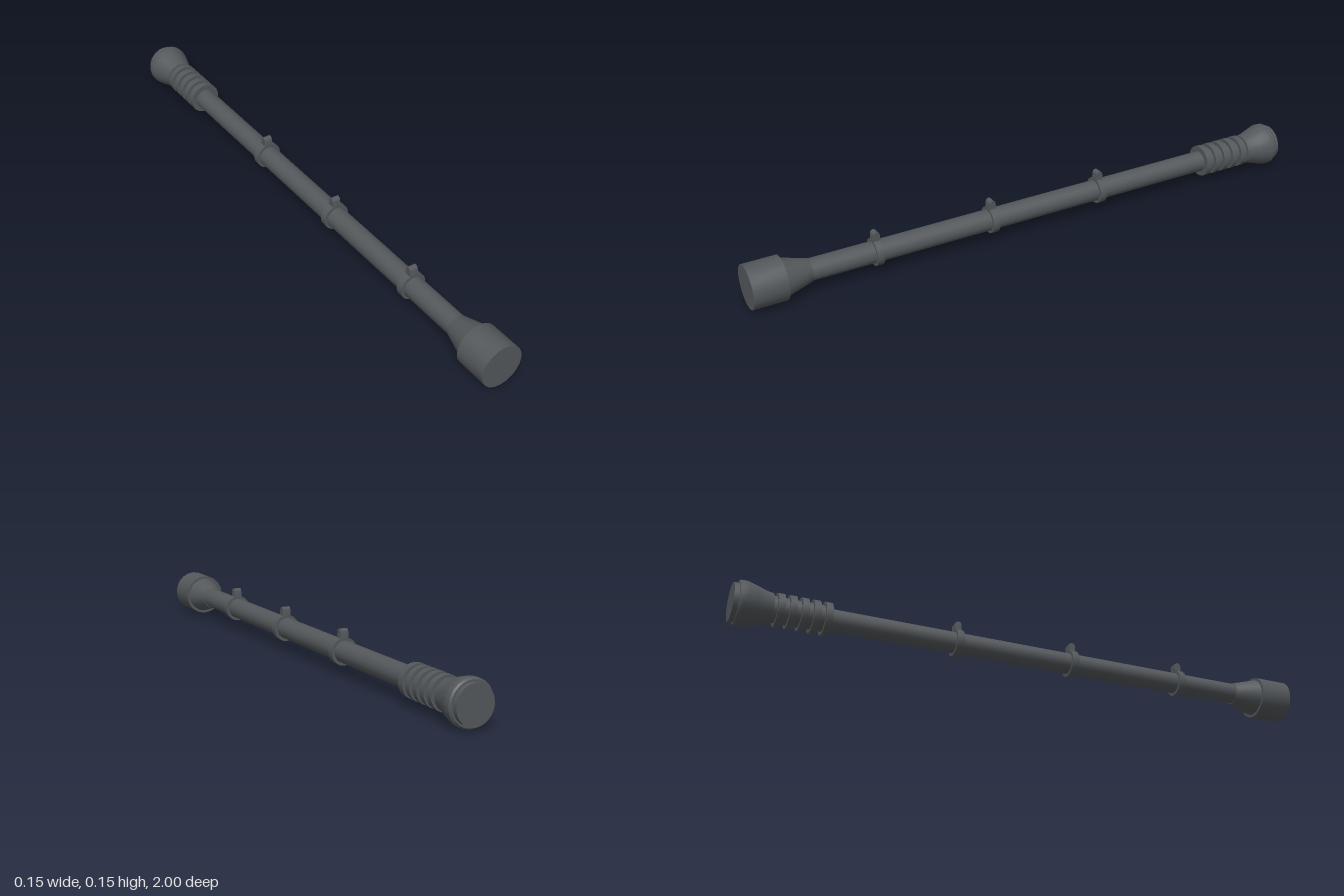
import * as THREE from 'three';
import { toCreasedNormals } from 'three/addons/utils/BufferGeometryUtils.js';

const AXIS = 0.076; // height of the central axis

export function createModel() {
  const model = new THREE.Group();
  model.name = 'rod';
  const mat = new THREE.MeshStandardMaterial({ color: 0x54585b });

  const add = (name, geometry, parent = model) => {
    const mesh = new THREE.Mesh(geometry, mat);
    mesh.name = name;
    parent.add(mesh);
    return mesh;
  };

  // Solid of revolution about the z axis, from [radius, z] pairs in rising z
  const turned = (name, profile, parent) => {
    const g = new THREE.LatheGeometry(profile.map(([r, z]) => new THREE.Vector2(r, z)), 20);
    g.rotateX(Math.PI / 2);
    g.translate(0, AXIS, 0);
    return add(name, toCreasedNormals(g, 0.4), parent);
  };
  const disc = (name, r, z, width, parent) =>
    turned(name, [[0, z - width / 2], [r, z - width / 2], [r, z + width / 2], [0, z + width / 2]], parent);

  // Long shaft
  turned('shaft', [[0, -0.72], [0.036, -0.72], [0.036, 0.82], [0, 0.82]]);

  // Front end: tapered collar and wide cap
  turned('frontCollar', [[0, 0.797], [0.038, 0.797], [0.064, 0.888], [0, 0.888]]);
  turned('frontCap', [[0, 0.886], [0.073, 0.886], [0.073, 1], [0, 1]]);

  // Ribbed grip
  turned('gripCore', [[0, -0.9], [0.043, -0.9], [0.043, -0.7], [0, -0.7]]);
  for (let i = 0; i < 5; i++) disc('gripRib', 0.055, -0.698 - i * 0.038, 0.022);

  // Flared back end with a recessed end plate
  turned('backFlare', [[0, -0.984], [0.069, -0.984], [0.074, -0.978], [0.074, -0.96],
    [0.064, -0.925], [0.054, -0.893], [0.051, -0.873], [0, -0.873]]);
  turned('endPlate', [[0, -1], [0.063, -1], [0.063, -0.98], [0, -0.98]]);

  // Bands with a small round-topped lug standing on each
  const lug = new THREE.Shape();
  lug.moveTo(-0.012, 0.035);
  lug.lineTo(0.012, 0.035);
  lug.lineTo(0.012, 0.063);
  lug.absarc(0, 0.063, 0.011, 0, Math.PI, false);
  lug.lineTo(-0.012, 0.035);
  for (const z of [0.573, 0.16, -0.255]) {
    const clip = new THREE.Group();
    clip.name = 'clip';
    model.add(clip);
    disc('band', 0.046, z, 0.024, clip);
    const g = new THREE.ExtrudeGeometry(lug, { depth: 0.028, bevelEnabled: false, curveSegments: 6 });
    g.translate(0, 0, -0.014);
    g.rotateY(Math.PI / 2);
    add('lug', toCreasedNormals(g, 0.6), clip).position.set(0, AXIS, z);
  }
  return model;
}
